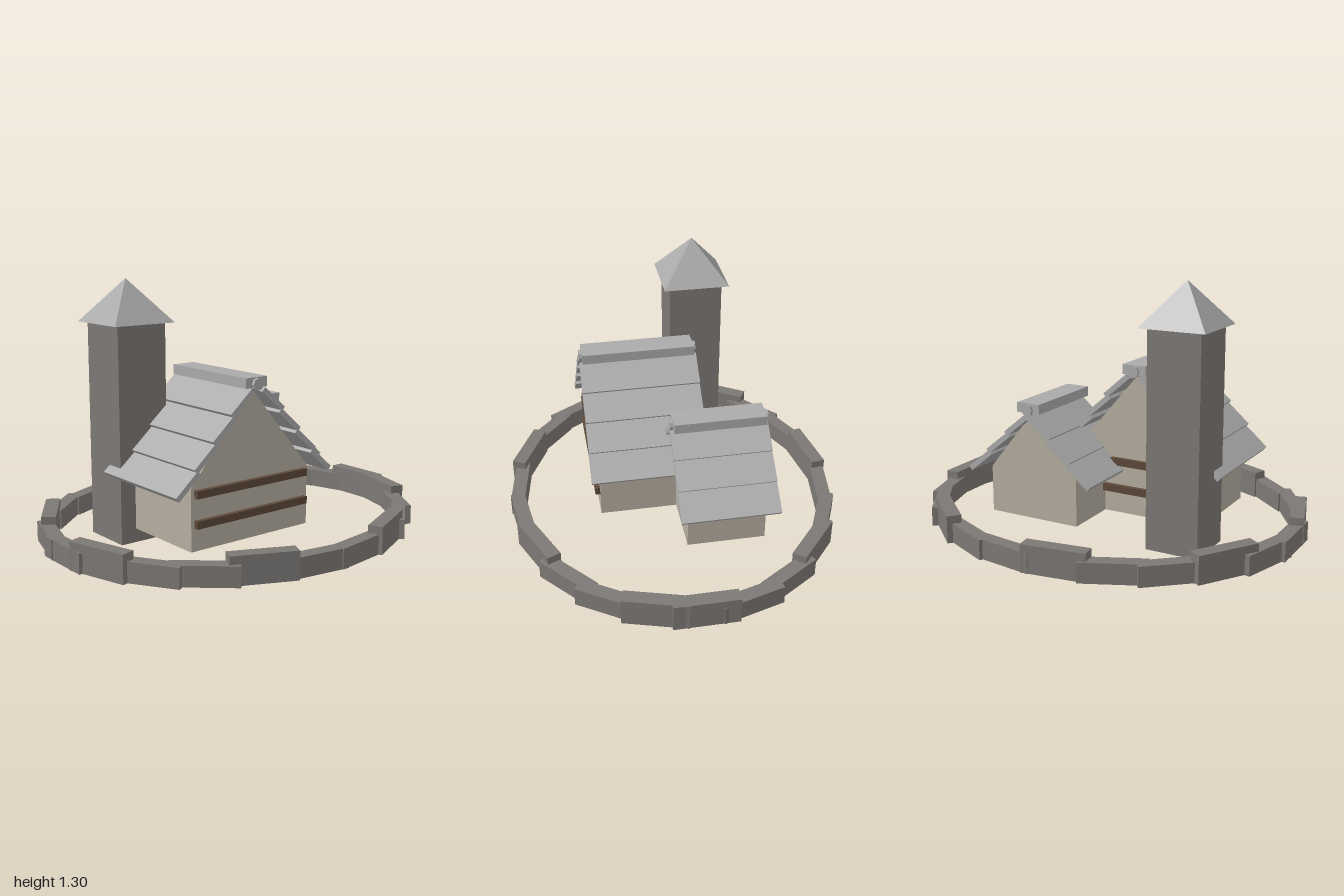
import * as THREE from 'three';

const mat = (color) => new THREE.MeshStandardMaterial({ color, flatShading: true });
const stone = mat(0x7c7875);
const plaster = mat(0xb5ad9f);
const slate = mat(0xaaaaaa);
const wood = mat(0x5c4838);

function add(parent, name, geometry, material, x = 0, y = 0, z = 0) {
  const mesh = new THREE.Mesh(geometry, material);
  mesh.name = name;
  mesh.position.set(x, y, z);
  parent.add(mesh);
  return mesh;
}

// Gabled house: raised walls, overlapping roof courses, round ridge pole, ridge cap.
function house(o) {
  const g = new THREE.Group();
  g.name = o.name;

  const gable = new THREE.Shape([
    new THREE.Vector2(-o.half, 0.07),
    new THREE.Vector2(o.half, 0.07),
    new THREE.Vector2(o.half, o.eave),
    new THREE.Vector2(0, o.apex),
    new THREE.Vector2(-o.half, o.eave),
  ]);
  const walls = new THREE.ExtrudeGeometry(gable, { depth: o.depth, bevelEnabled: false });
  add(g, 'walls', walls, plaster, 0, 0, -o.depth / 2);

  // each course hangs flatter than the overall slope, so they step down like shingles
  const pitch = THREE.MathUtils.degToRad(o.pitch);
  const len = 0.165, thick = 0.027, roofDepth = o.depth + 0.1;
  for (const side of [1, -1]) {
    for (let i = 0; i < o.courses; i++) {
      const tipX = o.tip[0] - i * o.step[0];
      const tipY = o.tip[1] + i * o.step[1];
      const course = add(g, 'roofCourse', new THREE.BoxGeometry(len, thick, roofDepth), slate,
        side * (tipX - Math.cos(pitch) * len / 2),
        tipY + Math.sin(pitch) * len / 2 + Math.cos(pitch) * thick / 2);
      course.rotation.z = -side * pitch;
    }
  }
  const pole = new THREE.CylinderGeometry(0.03, 0.03, roofDepth, 8);
  add(g, 'ridgePole', pole, slate, 0, o.ridge - 0.008, 0).rotation.x = Math.PI / 2;
  add(g, 'ridgeCap', new THREE.BoxGeometry(0.128, 0.05, o.depth + 0.07), slate, 0, o.ridge, 0);

  g.position.set(o.x, 0, o.z);
  return g;
}

export function createModel() {
  const model = new THREE.Group();
  model.name = 'walledFarmstead';

  // Main hall with timber beams on both gable ends
  const hall = house({
    name: 'mainHall', x: -0.182, z: 0.145, half: 0.361, eave: 0.375, apex: 0.8, depth: 0.51,
    courses: 4, pitch: 41, tip: [0.472, 0.34], step: [0.105, 0.114], ridge: 0.835,
  });
  for (const z of [0.255, -0.255]) {
    for (const y of [0.201, 0.345]) {
      add(hall, 'timberBeam', new THREE.BoxGeometry(0.685, 0.037, 0.05), wood, 0, y, z);
    }
  }
  model.add(hall);

  // Smaller side hall
  model.add(house({
    name: 'sideHall', x: 0.253, z: -0.2, half: 0.252, eave: 0.31, apex: 0.62, depth: 0.4,
    courses: 3, pitch: 39, tip: [0.354, 0.285], step: [0.113, 0.107], ridge: 0.652,
  }));

  // Square tower with pyramid roof
  const tower = new THREE.Group();
  tower.name = 'tower';
  tower.position.set(-0.49, 0, -0.199);
  add(tower, 'towerShaft', new THREE.BoxGeometry(0.275, 1.09, 0.275), stone, 0, 0.545, 0);
  const cap = new THREE.ConeGeometry(0.172 * Math.SQRT2, 0.215, 4);
  add(tower, 'towerRoof', cap, slate, 0, 1.195, 0).rotation.y = Math.PI / 4;
  model.add(tower);

  // Oval ring wall; every third block is taller
  const wall = new THREE.Group();
  wall.name = 'ringWall';
  const count = 22;
  for (let i = 0; i < count; i++) {
    const a = (i / count) * Math.PI * 2;
    const h = i % 3 === 0 ? 0.14 : 0.1;
    const block = add(wall, 'wallBlock', new THREE.BoxGeometry(0.073, h, 0.325), stone,
      Math.cos(a) * 0.9635, h / 2, -Math.sin(a) * 0.814);
    block.rotation.y = a;
  }
  model.add(wall);

  return model;
}
